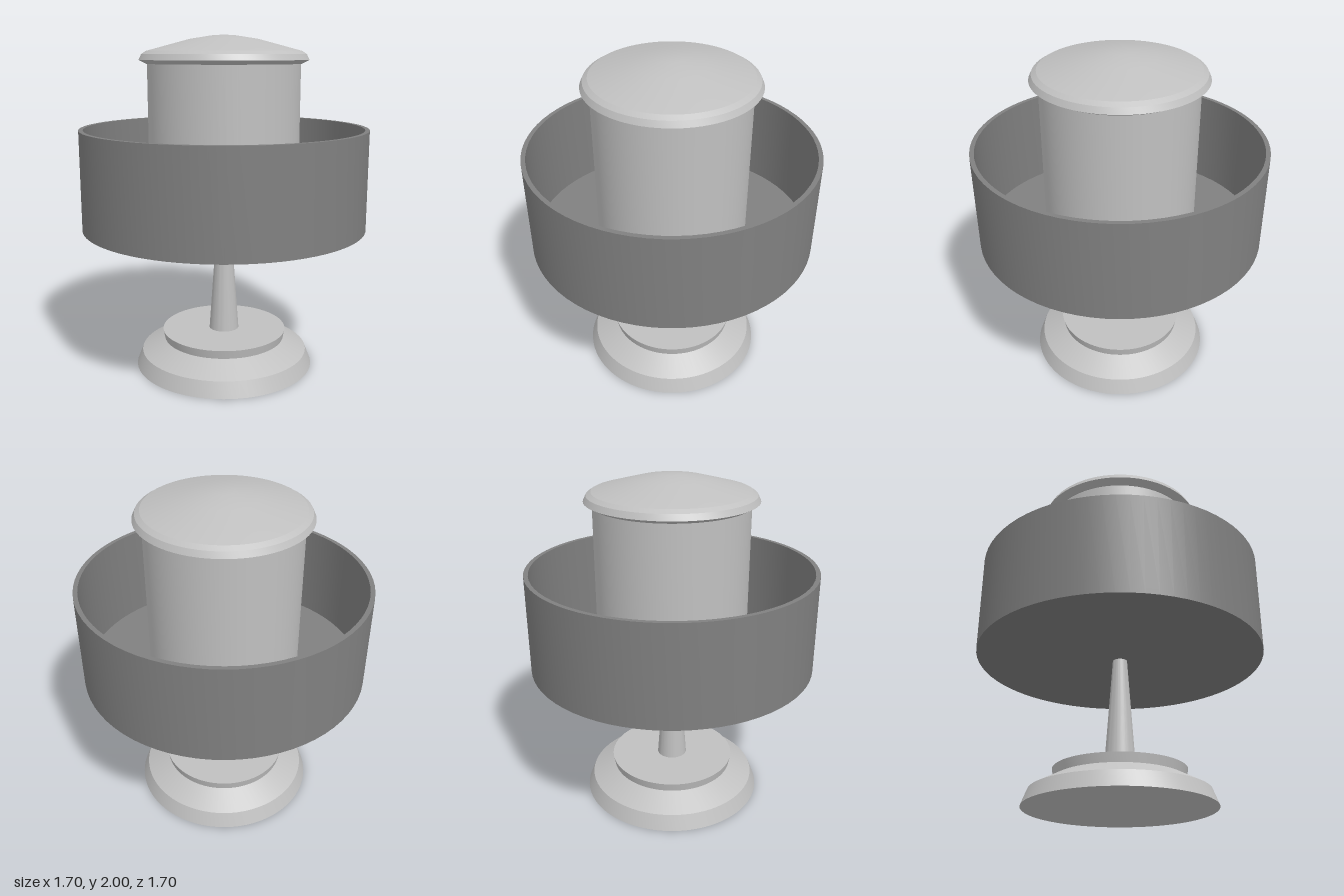
import * as THREE from 'three';
import { toCreasedNormals } from 'three/addons/utils/BufferGeometryUtils.js';

const silver = new THREE.MeshStandardMaterial({ color: 0xc0c0c0 });
silver.name = 'light grey';
const slate = new THREE.MeshStandardMaterial({ color: 0x808080 });
slate.name = 'dark grey';

// Turned part from a [radius, height] profile, running from the bottom outwards and up
function turned(name, material, profile) {
  const points = profile.map(([r, y]) => new THREE.Vector2(r, y));
  const geometry = toCreasedNormals(new THREE.LatheGeometry(points, 72), 0.3);
  const mesh = new THREE.Mesh(geometry, material);
  mesh.name = name;
  return mesh;
}

export function createModel() {
  const model = new THREE.Group();
  model.name = 'pedestalBowl';

  model.add(
    // Stepped foot
    turned('base', silver, [
      [0, 0], [0.545, 0], [0.51, 0.09], [0.37, 0.163], [0.38, 0.215], [0, 0.215],
    ]),
    // Tapered stem
    turned('stem', silver, [[0, 0.21], [0.091, 0.21], [0.042, 0.89], [0, 0.89]]),
    // Open drum with a thin wall and floor
    turned('bowl', slate, [
      [0, 0.88], [0.848, 0.88], [0.848, 1.467], [0.822, 1.467], [0.822, 0.905], [0, 0.905],
    ]),
    // Inner canister
    turned('canister', silver, [[0, 0.9], [0.446, 0.9], [0.446, 1.85], [0, 1.85]]),
    // Low domed lid with a bevelled rim
    turned('lid', silver, [
      [0, 1.838], [0.452, 1.838], [0.494, 1.86], [0.478, 1.893], [0.45, 1.911],
      [0.2, 1.978], [0.06, 2], [0, 2],
    ]),
  );
  return model;
}
